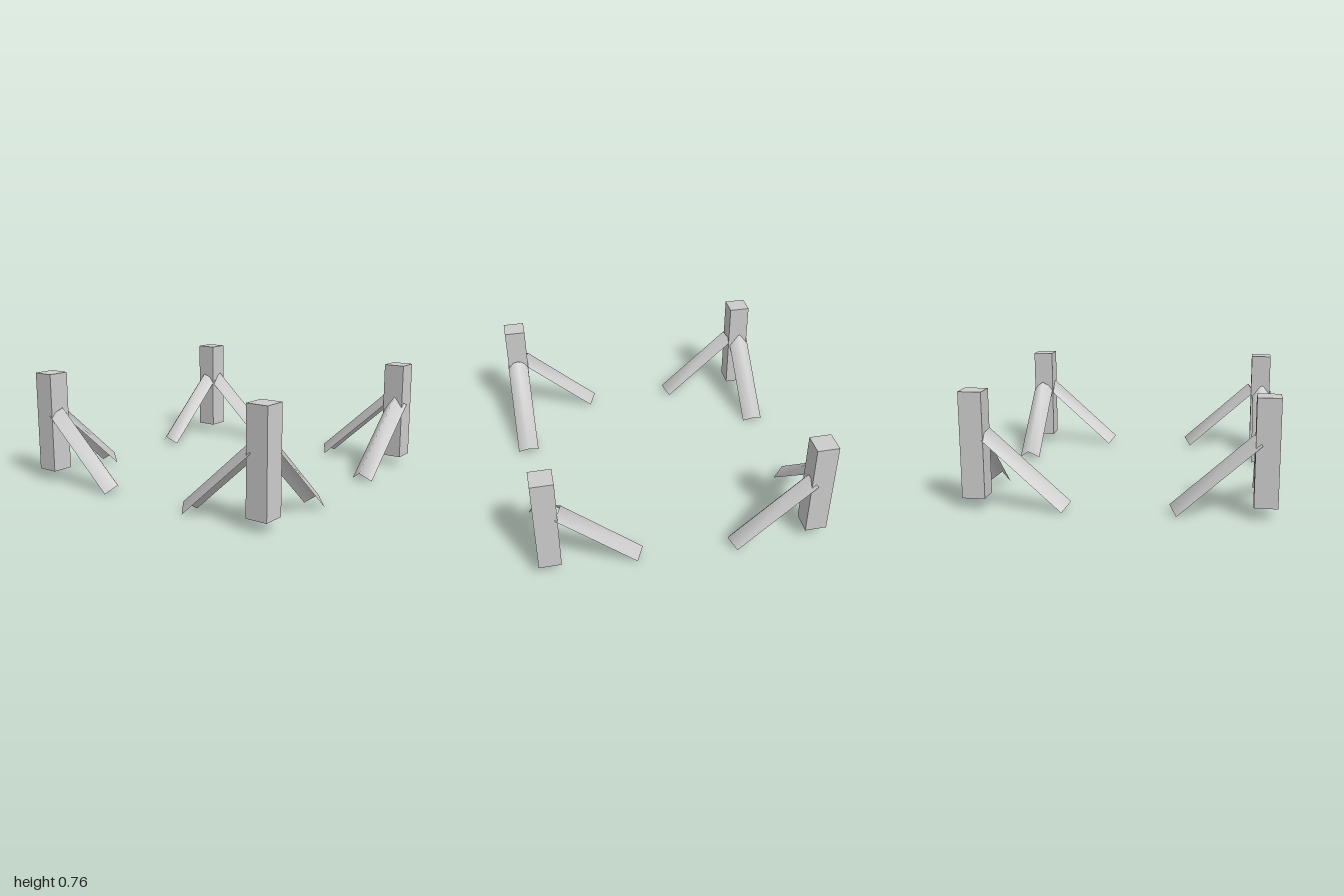
import * as THREE from 'three';

const material = new THREE.MeshStandardMaterial({ color: 0xcccccc, side: THREE.DoubleSide });

// Square post, hollow underneath (the bottom face is left out)
function postGeometry(width, height) {
  const geo = new THREE.BoxGeometry(width, height, width);
  const index = Array.from(geo.index.array);
  index.splice(18, 6);
  geo.setIndex(index);
  geo.clearGroups();
  return geo;
}

// Sloping brace along +x: an upturned V channel, open below and at both ends.
// The ridge starts at the origin and drops to (run, -drop).
function braceGeometry(run, drop, halfWidth, depth) {
  const length = Math.hypot(run, drop);
  const dx = -depth * drop / length, dy = -depth * run / length;
  const points = [];
  for (const [x, y] of [[0, 0], [run, -drop]]) {
    points.push(x + dx, y + dy, halfWidth, x, y, 0, x + dx, y + dy, -halfWidth);
  }
  const geo = new THREE.BufferGeometry();
  geo.setAttribute('position', new THREE.Float32BufferAttribute(points, 3));
  geo.setIndex([0, 3, 4, 0, 4, 1, 1, 4, 5, 1, 5, 2]);
  geo.computeVertexNormals();
  return geo;
}

export function createModel() {
  const group = new THREE.Group();
  const postGeo = postGeometry(0.148, 0.685);
  const braceGeo = braceGeometry(0.515, 0.465, 0.075, 0.074);

  // Each corner: post centre, then ridge start (x, z) of its two braces
  const corners = [
    { name: 'frontRight', post: [-0.912, 0.905], side: [-0.812, 0.908], along: [-0.925, 0.82] },
    { name: 'frontLeft', post: [0.878, 0.872], side: [0.8, 0.888], along: [0.882, 0.768] },
    { name: 'backLeft', post: [0.905, -0.917], side: [0.807, -0.917], along: [0.92, -0.833] },
    { name: 'backRight', post: [-0.923, -0.885], side: [-0.843, -0.898], along: [-0.925, -0.782] },
  ];

  for (const { name, post, side, along } of corners) {
    const corner = new THREE.Group();
    corner.name = name + 'Corner';
    const add = (part, geo, [x, z], y, turn = 0) => {
      const mesh = new THREE.Mesh(geo, material);
      mesh.name = name + part;
      mesh.position.set(x, y, z);
      mesh.rotation.y = turn;
      corner.add(mesh);
    };
    add('Post', postGeo, post, 0.418);
    // Braces lean inward, towards the neighbouring posts
    add('SideBrace', braceGeo, side, 0.524, side[0] < 0 ? 0 : Math.PI);
    add('LengthBrace', braceGeo, along, 0.524, along[1] > 0 ? Math.PI / 2 : -Math.PI / 2);
    group.add(corner);
  }
  return group;
}
